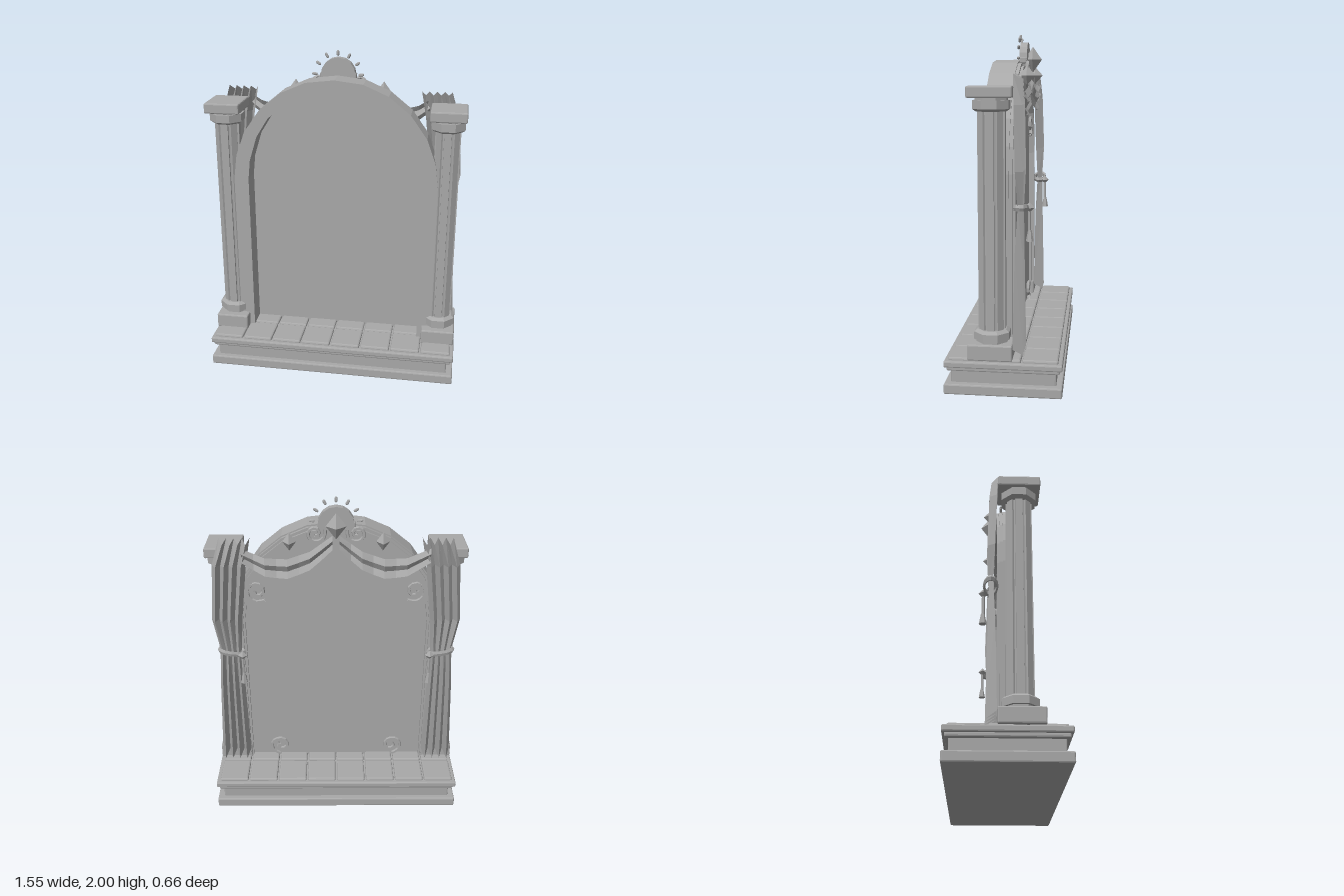
import * as THREE from 'three';
import { RoundedBoxGeometry } from 'three/addons/geometries/RoundedBoxGeometry.js';

export function createModel() {
  const root = new THREE.Group();
  const stone = new THREE.MeshStandardMaterial({ color: 0xa8a8a8 });
  stone.name = 'stoneGrey';
  stone.flatShading = true;
  stone.side = THREE.DoubleSide;

  const add = (name, geo, x = 0, y = 0, z = 0) => {
    const m = new THREE.Mesh(geo, stone);
    m.name = name;
    m.position.set(x, y, z);
    root.add(m);
    return m;
  };
  // Bevelled block given by its bottom and top heights
  const block = (name, w, d, y0, y1, x = 0, z = 0, r = 0.008) =>
    add(name, new RoundedBoxGeometry(w, y1 - y0, d, 1, r), x, (y0 + y1) / 2, z);

  // Stepped base
  block('baseSlab', 1.55, 0.66, 0, 0.06);
  block('baseCore', 1.47, 0.59, 0.05, 0.15);
  block('baseMoulding', 1.52, 0.63, 0.132, 0.16);
  block('baseTop', 1.55, 0.66, 0.155, 0.192);

  // Paving tiles
  for (let i = 0; i < 8; i++)
    for (let j = 0; j < 3; j++)
      block('tile', 0.18, 0.198, 0.175, 0.208, (i - 3.5) * 0.189, (j - 1) * 0.207, 0.01);

  // Arch outlines: half profiles from springing to crown, blended by t
  const inner = [[0.535, 0.19], [0.535, 1.22], [0.522, 1.34], [0.475, 1.49], [0.4, 1.61], [0.3, 1.69], [0.16, 1.742], [0, 1.76]];
  const outer = [[0.625, 0.19], [0.625, 1.22], [0.605, 1.37], [0.55, 1.52], [0.45, 1.66], [0.32, 1.765], [0.17, 1.83], [0, 1.85]];
  const outline = t => {
    const half = inner.map((p, i) => new THREE.Vector2(
      p[0] + (outer[i][0] - p[0]) * t, p[1] + (outer[i][1] - p[1]) * t));
    return half.concat(half.slice(0, -1).reverse().map(p => new THREE.Vector2(-p.x, p.y)));
  };
  const archRing = (name, t0, t1, z0, z1) => {
    const shape = new THREE.Shape([...outline(t1), ...outline(t0).reverse()]);
    add(name, new THREE.ExtrudeGeometry(shape, { depth: z1 - z0, bevelEnabled: false }), 0, 0, z0);
  };
  archRing('arch', 0, 1, -0.02, 0.13);
  archRing('archBackMoulding', 0.25, 0.9, -0.04, -0.02);
  archRing('archBackBead', 0.4, 0.7, -0.055, -0.04);
  add('backPanel', new THREE.ExtrudeGeometry(new THREE.Shape(outline(0.02)),
    { depth: 0.022, bevelEnabled: false }), 0, 0, -0.02);

  // Fluted shaft cross-section with eight ribs
  const flutes = [];
  for (let i = 0; i < 8; i++)
    for (const [da, r] of [[-0.27, 0.078], [0.27, 0.078], [0.33, 0.067], [0.455, 0.067]]) {
      const a = i * Math.PI / 4 + da;
      flutes.push(new THREE.Vector2(Math.cos(a) * r, Math.sin(a) * r));
    }
  const shaftGeo = new THREE.ExtrudeGeometry(new THREE.Shape(flutes), { depth: 1.23, bevelEnabled: false });
  shaftGeo.rotateX(-Math.PI / 2);
  const octagon = (name, flat0, flat1, y0, y1, x, z) => {
    const k = Math.cos(Math.PI / 8);
    const g = new THREE.CylinderGeometry(flat1 / k, flat0 / k, y1 - y0, 8);
    g.rotateY(Math.PI / 8);
    add(name, g, x, (y0 + y1) / 2, z);
  };
  const spiral = (name, x, y, z, r, dir, start, turns = 1.35) => {
    const pts = [];
    for (let i = 0; i <= 12; i++) {
      const u = i / 12, a = start + u * turns * Math.PI * 2, q = r * (1 - 0.78 * u);
      pts.push(new THREE.Vector3(dir * Math.cos(a) * q, Math.sin(a) * q, 0));
    }
    add(name, new THREE.TubeGeometry(new THREE.CatmullRomCurve3(pts), 14, 0.011, 5), x, y, z);
  };
  // Sheet through a grid of points f(u, v)
  const sheet = (name, nu, nv, f) => {
    const pos = [], idx = [];
    for (let j = 0; j <= nv; j++)
      for (let i = 0; i <= nu; i++) pos.push(...f(i, j));
    for (let j = 0; j < nv; j++)
      for (let i = 0; i < nu; i++) {
        const a = j * (nu + 1) + i, b = a + nu + 1;
        idx.push(a, a + 1, b, b, a + 1, b + 1);
      }
    const g = new THREE.BufferGeometry();
    g.setAttribute('position', new THREE.Float32BufferAttribute(pos, 3));
    g.setIndex(idx);
    g.computeVertexNormals();
    add(name, g);
  };
  const gem = (name, x, y, z, sx, sy, sz) =>
    add(name, new THREE.OctahedronGeometry(1), x, y, z).scale.set(sx, sy, sz);

  // Curtain sections: height, inner x, outer x, middle z, fold depth
  const folds = [[1.75, 0.5, 0.68, -0.07, 0.02], [1.6, 0.53, 0.73, -0.08, 0.022], [1.25, 0.57, 0.755, -0.09, 0.022],
    [1.04, 0.585, 0.715, -0.09, 0.012], [0.8, 0.58, 0.735, -0.085, 0.02], [0.25, 0.57, 0.76, -0.085, 0.03]];

  for (const s of [1, -1]) {
    const cx = s * 0.668, cz = 0.067;
    // Column
    block('columnPlinth', 0.205, 0.25, 0.2, 0.292, cx, 0.072);
    octagon('columnFootNeck', 0.085, 0.085, 0.285, 0.31, cx, cz);
    octagon('columnFoot', 0.098, 0.098, 0.307, 0.35, cx, cz);
    octagon('columnFootTop', 0.098, 0.08, 0.35, 0.365, cx, cz);
    add('columnShaft', shaftGeo, cx, 0.35, cz);
    octagon('columnCapitalBottom', 0.08, 0.098, 1.565, 1.578, cx, cz);
    octagon('columnCapital', 0.098, 0.098, 1.578, 1.625, cx, cz);
    octagon('columnCapitalNeck', 0.085, 0.085, 1.62, 1.65, cx, cz);
    block('columnAbacus', 0.213, 0.245, 1.638, 1.7, cx, 0.068);

    // Pleated curtain
    sheet('curtain', 8, folds.length - 1, (i, j) => {
      const [y, x0, x1, z, d] = folds[j];
      const end = j === 0 ? 0.015 : j === folds.length - 1 ? 0.02 : 0;
      return [s * (x0 + (x1 - x0) * i / 8), y + (i % 2 ? -end : end), z + (i % 2 ? -d : d)];
    });
    // Tieback, knot and tassel
    const tie = add('curtainTie', new THREE.TorusGeometry(0.075, 0.014, 5, 12), s * 0.645, 1.04, -0.09);
    tie.rotation.set(Math.PI / 2, s * 0.15, 0);
    tie.scale.set(1, 0.5, 1.3);
    gem('tieKnot', s * 0.575, 1.03, -0.13, 0.03, 0.03, 0.028);
    add('tasselCord', new THREE.CylinderGeometry(0.009, 0.009, 0.14, 6), s * 0.575, 0.96, -0.13);
    add('tassel', new THREE.CylinderGeometry(0.01, 0.022, 0.065, 6), s * 0.575, 0.872, -0.132);

    // Swag across the arch
    sheet('swag', 8, 3, (i, j) => {
      const u = i / 8, v = j / 3;
      const top = 1.79 - 0.08 * u - 0.42 * u * (1 - u);
      return [s * (0.02 + 0.53 * u), top - v * (0.08 + 0.14 * u * (1 - u)),
        -0.075 + (j % 2 ? -0.02 : 0) + (i % 2 ? 0.008 : -0.008)];
    });
    gem('sideGem', s * 0.27, 1.755, -0.085, 0.04, 0.055, 0.05);

    // Scroll ornaments
    spiral('upperScroll', s * 0.475, 1.42, -0.035, 0.075, s, -2.2);
    spiral('lowerScroll', s * 0.37, 0.285, -0.035, 0.07, s, -1.4);
    spiral('crestScroll', s * 0.12, 1.8, -0.075, 0.06, s, 2.8);
  }

  // Crest: disc, foot, rays and central gem
  const disc = add('crestDisc', new THREE.CylinderGeometry(0.105, 0.105, 0.045, 16), 0, 1.85, -0.045);
  disc.rotation.x = Math.PI / 2;
  block('crestFoot', 0.22, 0.045, 1.825, 1.865, 0, -0.045);
  for (let i = 0; i < 7; i++) {
    const a = (i - 3) * 0.49;
    const ray = add('crestRay', new THREE.CapsuleGeometry(0.0085, 0.018, 2, 6),
      Math.sin(a) * 0.14, 1.843 + Math.cos(a) * 0.14, -0.02);
    ray.rotation.z = -a;
  }
  gem('crestGem', 0, 1.85, -0.095, 0.06, 0.078, 0.055);
  return root;
}
